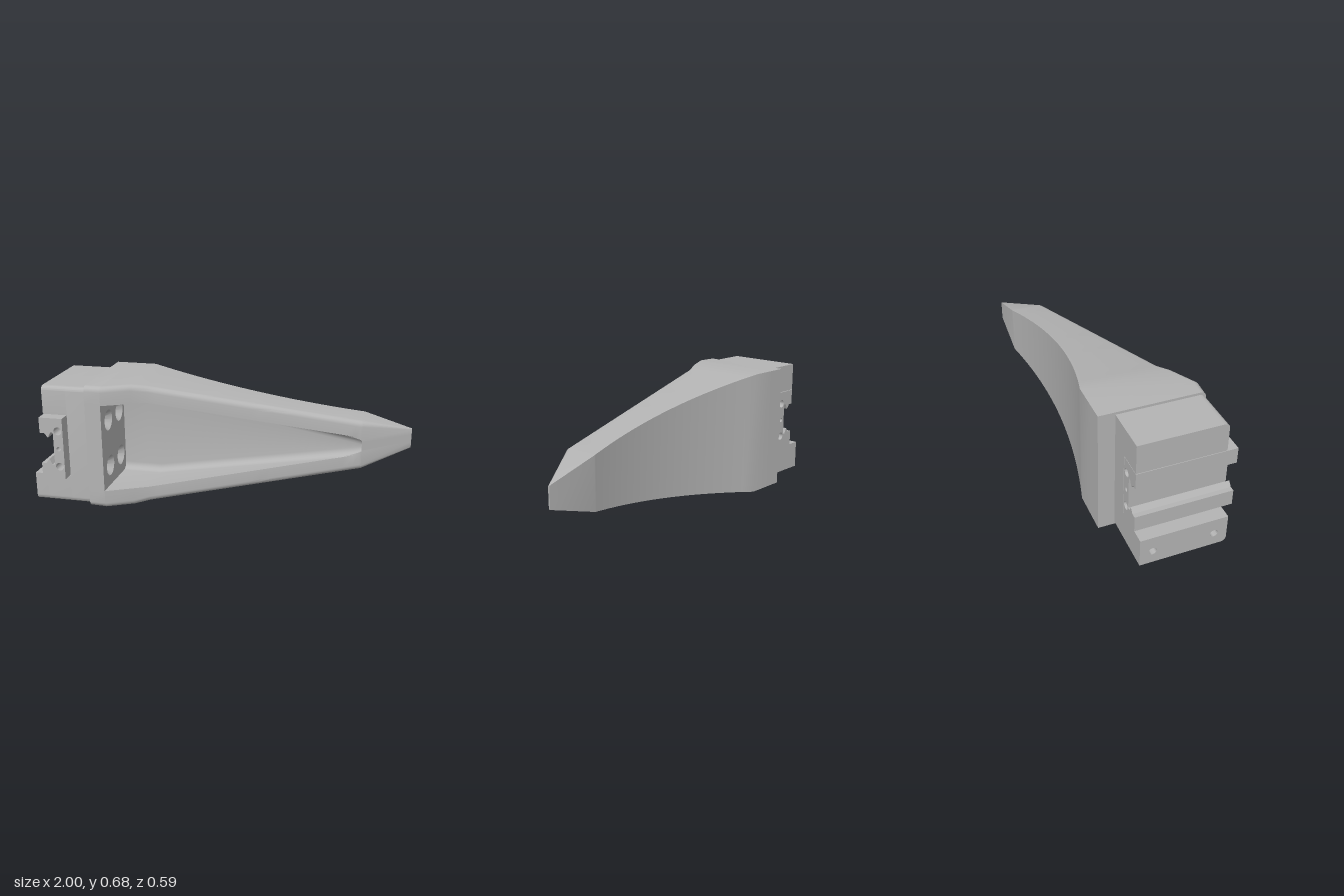
import * as THREE from 'three';
import { toCreasedNormals } from 'three/addons/utils/BufferGeometryUtils.js';

const MID = 0.345; // height of the mirror plane

// piecewise linear lookup in [x, value] pairs
function at(table, x) {
  for (let i = 1; i < table.length; i++) {
    const [x0, v0] = table[i - 1], [x1, v1] = table[i];
    if (x <= x1) return v0 + (v1 - v0) * (x - x0) / (x1 - x0);
  }
  return table[table.length - 1][1];
}

const OUTER = [[-0.69, 0.34], [-0.46, 0.34], [0.74, 0.135], [1, 0.055]];
const FRONT = [[-0.69, 0.243], [-0.6, 0.25], [-0.385, 0.14], [0.74, -0.1], [1, -0.286]];
const POCKET = [[-0.69, 0.24], [-0.385, 0.24], [0.7, 0.053], [0.73, 0.042], [0.74, 0.034], [1, 0.02]];
const FLOOR = -0.11, FILLET = 0.04;
const HOLES = [[0.14, 0.215], [-0.03, 0.215], [0.14, 0.475], [-0.03, 0.475]];

// closed cross-section at x: rounded front edges, and a pocket when open
function section(x, open) {
  const H = at(OUTER, x), F = at(FRONT, x), h = at(POCKET, x);
  const u = (x - 0.14) / 0.6;
  const B = -0.295 + 0.08 * Math.max(0, 1 - u * u);
  const r = Math.min(0.03, (F - B) * 0.8), q = Math.min(FILLET, h * 0.8);
  const P = open ? Math.min(FLOOR, F) : F;
  const half = [[B, H]];
  for (let i = 0; i <= 5; i++) {
    const a = i / 5 * Math.PI / 2;
    half.push([F - r + r * Math.sin(a), H - r + r * Math.cos(a)]);
  }
  half.push([F, h]);
  for (let i = 0; i <= 5; i++) {
    const a = i / 5 * Math.PI / 2;
    half.push([Math.min(F, P + q - q * Math.sin(a)), h - q + q * Math.cos(a)]);
  }
  const all = [...half, ...half.slice().reverse().map(([z, y]) => [z, -y])];
  return all.map(([z, y]) => new THREE.Vector3(x, MID + y, z));
}

// skin between consecutive sections, with optional flat ends
function loft(rings, capStart, capEnd) {
  const pos = [];
  const tri = (a, b, c) => {
    const n = b.clone().sub(a).cross(c.clone().sub(a));
    if (n.length() > 1e-8) pos.push(...a, ...b, ...c);
  };
  for (let i = 0; i + 1 < rings.length; i++) {
    const A = rings[i], B = rings[i + 1], n = A.length;
    for (let j = 0; j < n; j++) {
      const k = (j + 1) % n;
      tri(A[j], A[k], B[j]);
      tri(A[k], B[k], B[j]);
    }
  }
  const cap = (R, flip) => {
    for (let k = 1; k + 1 < R.length; k++) flip ? tri(R[0], R[k + 1], R[k]) : tri(R[0], R[k], R[k + 1]);
  };
  if (capStart) cap(rings[0], true);
  if (capEnd) cap(rings[rings.length - 1], false);
  const g = new THREE.BufferGeometry();
  g.setAttribute('position', new THREE.Float32BufferAttribute(pos, 3));
  return toCreasedNormals(g, 0.45);
}

function circle(x, y, r) {
  return new THREE.Path().absarc(x, y, r, 0, Math.PI * 2, true);
}

// z-y outline with optionally rounded front corners, extruded along x
function slab(x0, x1, y0, y1, roundLow, roundHigh, holes = []) {
  const f = -0.238, b = 0.21, r = 0.03; // shape x is -z
  const s = new THREE.Shape();
  s.moveTo(b, y0);
  s.lineTo(b, y1);
  if (roundHigh) {
    s.lineTo(f + r, y1);
    s.quadraticCurveTo(f, y1, f, y1 - r);
  } else s.lineTo(f, y1);
  if (roundLow) {
    s.lineTo(f, y0 + r);
    s.quadraticCurveTo(f, y0, f + r, y0);
  } else s.lineTo(f, y0);
  s.closePath();
  holes.forEach(([z, y, rad]) => s.holes.push(circle(-z, y, rad)));
  const g = new THREE.ExtrudeGeometry(s, { depth: x1 - x0, bevelEnabled: false, curveSegments: 16 });
  g.rotateY(Math.PI / 2).translate(x0, 0, 0);
  return toCreasedNormals(g, 0.45);
}

export function createModel() {
  const model = new THREE.Group();
  model.name = 'mountingArm';
  const grey = new THREE.MeshStandardMaterial({ color: 0xb4b4b4, side: THREE.DoubleSide });
  grey.name = 'grey';
  const add = (name, geometry) => {
    const m = new THREE.Mesh(geometry, grey);
    m.name = name;
    model.add(m);
    return m;
  };

  // solid root of the arm
  add('armRoot', loft([section(-0.69, false), section(-0.6, false)], true, false));

  // tapering arm with a hollow front and a scooped back
  const rings = [-0.6, -0.46, -0.385].map(x => section(x, true));
  for (let i = 1; i <= 20; i++) rings.push(section(-0.385 + i / 20 * 1.085, true));
  rings.push(section(0.73, true), section(0.74, true), section(0.74, false), section(1, false));
  add('arm', loft(rings, false, true));

  // pocket end wall pierced by four screw holes
  const wall = new THREE.Shape();
  const q = FILLET, h = 0.24;
  wall.moveTo(-0.25, MID - h);
  wall.lineTo(-FLOOR - q, MID - h);
  wall.quadraticCurveTo(-FLOOR, MID - h, -FLOOR, MID - h + q);
  wall.lineTo(-FLOOR, MID + h - q);
  wall.quadraticCurveTo(-FLOOR, MID + h, -FLOOR - q, MID + h);
  wall.lineTo(-0.25, MID + h);
  wall.closePath();
  HOLES.forEach(([z, y]) => wall.holes.push(circle(-z, y, 0.057)));
  add('pocketWall', new THREE.ShapeGeometry(wall, 16).rotateY(Math.PI / 2).translate(-0.6, 0, 0));

  // countersunk screw holes
  const bore = [[0.057, 0], [0.03, -0.035], [0.03, -0.1], [0, -0.12]].map(p => new THREE.Vector2(...p));
  const boreGeo = toCreasedNormals(new THREE.LatheGeometry(bore, 32).rotateZ(-Math.PI / 2), 0.45);
  HOLES.forEach(([z, y]) => add('screwHole', boreGeo).position.set(-0.6, y, z));

  // mounting block wrapped around the rail
  add('mountBack', slab(-0.795, -0.69, 0.02, 0.672, true, true));
  add('mountTop', slab(-0.93, -0.795, 0.518, 0.672, false, true));
  add('mountBottom', slab(-0.93, -0.795, 0.02, 0.175, true, false));
  add('mountFoot', slab(-1, -0.93, 0.02, 0.175, true, false, [[-0.145, 0.09, 0.02], [0.17, 0.09, 0.02]]));

  // clamp rail: mirrored jaws around an open slot
  const jaw = [[-0.8, 0.17], [-0.93, 0.17], [-0.93, 0.085], [-0.905, 0.085], [-0.885, 0.06],
    [-0.87, 0.09], [-0.855, 0.09]];
  const rail = new THREE.Shape([...jaw, ...jaw.slice().reverse().map(([x, y]) => [x, -y])]
    .map(([x, y]) => new THREE.Vector2(x, MID + y)));
  [[0.1, 0.022], [0, 0.012], [-0.1, 0.022]].forEach(([y, r]) => rail.holes.push(circle(-0.828, MID + y, r)));
  add('clampRail', toCreasedNormals(
    new THREE.ExtrudeGeometry(rail, { depth: 0.505, bevelEnabled: false, curveSegments: 12 })
      .translate(0, 0, -0.21), 0.45));

  return model;
}
